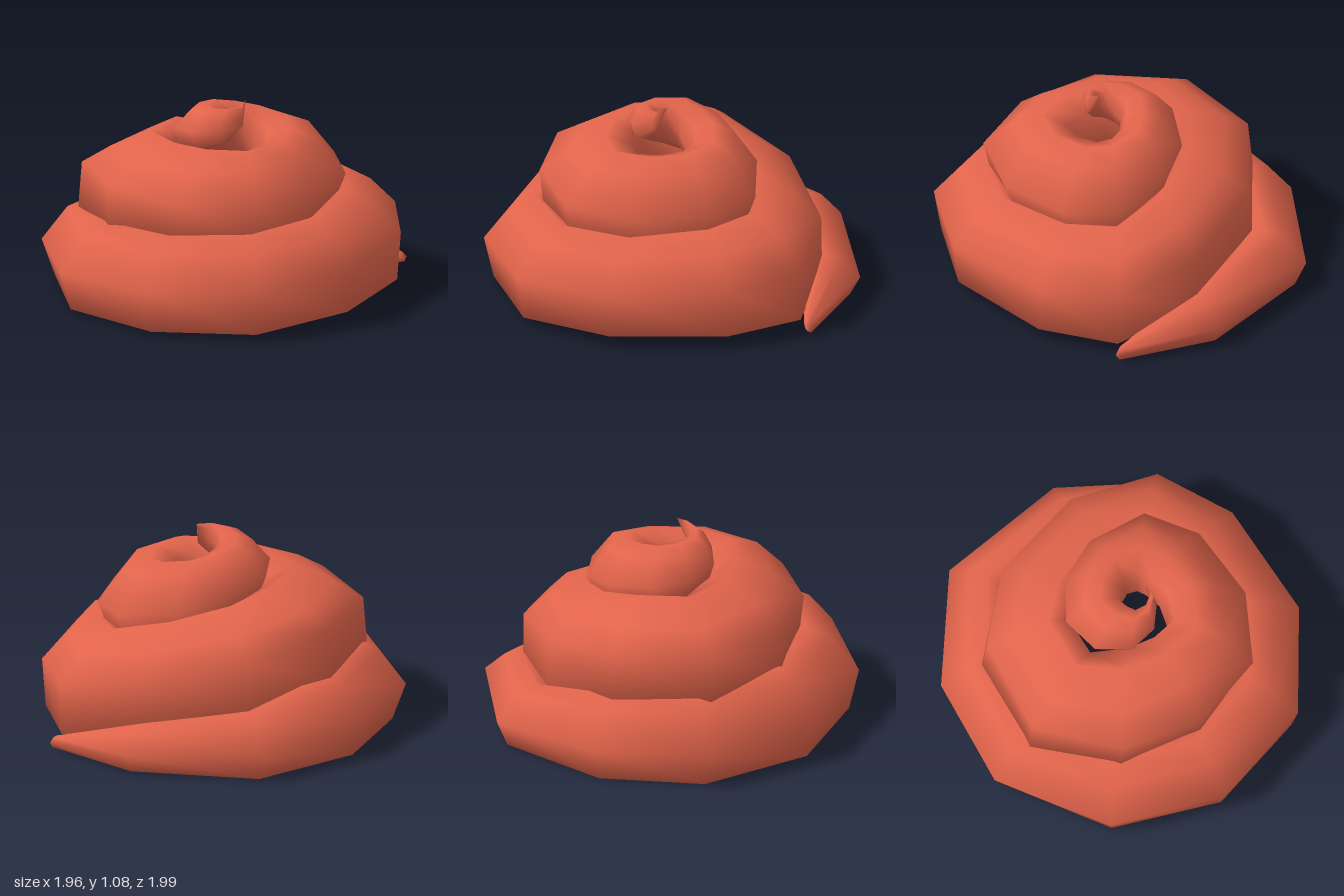
import * as THREE from 'three';

// Outer edge of the spiral seen from above (x, z), from the tail up to the tip
const PATH = [
  [0.38, -0.95], [-0.18, -1], [-0.82, -0.63], [-0.99, 0.02], [-0.81, 0.61],
  [-0.25, 0.99], [0.39, 0.95], [0.86, 0.57], [0.98, -0.01], [0.73, -0.61],
  [0.37, -0.9], [-0.13, -0.82], [-0.59, -0.45], [-0.77, 0.02], [-0.61, 0.54],
  [-0.15, 0.76], [0.32, 0.67], [0.65, 0.38], [0.68, -0.03], [0.5, -0.4],
  [0.23, -0.56], [-0.09, -0.44], [-0.26, -0.24], [-0.31, 0.03], [-0.19, 0.22],
  [0, 0.27], [0.14, 0.19], [0.18, 0.06],
];

// Cross-sections as fractions (inward, up): a round one and one with a sloping shoulder
const ROUND = [[0.17, 0], [0, 0.45], [0.33, 0.88], [0.62, 1], [0.9, 0.9], [1, 0.55], [0.88, 0.2], [0.65, 0]];
const SLOPED = [[0, 0.12], [0.06, 0.64], [0.34, 0.8], [0.74, 1], [0.97, 0.88], [1, 0.45], [0.8, 0.1], [0.4, 0]];
const SIDES = ROUND.length;

// How the cross-section changes along the path: (station, value) keys
const BOTTOM = [[0, 0.03], [3, 0.01], [7, 0.03], [8, 0.06], [10, 0.04], [11, 0.11],
  [13, 0.33], [15, 0.4], [18, 0.45], [20, 0.5], [23, 0.74], [26, 0.88], [27, 0.96]];
const TOP = [[0, 0.09], [1, 0.25], [3, 0.43], [5, 0.49], [8, 0.56], [10, 0.63],
  [13, 0.87], [19, 0.92], [23, 1.035], [27, 1.07]];
const WIDTH = [[0, 0.06], [1, 0.32], [3, 0.42], [8, 0.45], [11, 0.5], [13, 0.5], [15, 0.58],
  [18, 0.47], [20, 0.46], [21, 0.37], [24, 0.29], [27, 0.05]];
const SLOPE = [[4, 0], [13, 1], [15, 0.8], [18, 0]];

// Linear interpolation between keys
function sample(keys, i) {
  const n = keys.findIndex(([station]) => station >= i);
  if (n === 0) return keys[0][1];
  if (n < 0) return keys[keys.length - 1][1];
  const [s0, v0] = keys[n - 1], [s1, v1] = keys[n];
  return THREE.MathUtils.mapLinear(i, s0, s1, v0, v1);
}

function coilGeometry() {
  const { lerp } = THREE.MathUtils;
  const positions = [], indices = [];
  const last = PATH.length - 1;

  // Cross-section rings, facing away from the drifting centre of the spiral
  PATH.forEach(([x, z], i) => {
    const t = i / last;
    const out = new THREE.Vector2(x - 0.1 * t, z + 0.03 * t).normalize();
    const bottom = sample(BOTTOM, i), top = sample(TOP, i);
    const width = sample(WIDTH, i), slope = sample(SLOPE, i);
    ROUND.forEach(([u, v], j) => {
      const inward = width * lerp(u, SLOPED[j][0], slope);
      const y = lerp(bottom, top, lerp(v, SLOPED[j][1], slope));
      positions.push(x - out.x * inward, y, z - out.y * inward);
    });
  });

  // Pointed ends: tail at the base, curled tip on top
  const tail = positions.length / 3, tip = tail + 1;
  positions.push(0.39, 0.05, -0.92, 0.13, 1.09, -0.01);

  // Skin between neighbouring rings, closed at both ends
  for (let j = 0; j < SIDES; j++) {
    const k = (j + 1) % SIDES;
    for (let i = 0; i < last; i++) {
      const a = i * SIDES + j, b = a + SIDES;
      const c = i * SIDES + k, d = c + SIDES;
      indices.push(a, b, c, b, d, c);
    }
    indices.push(tail, j, k);
    indices.push(last * SIDES + j, tip, last * SIDES + k);
  }

  const geometry = new THREE.BufferGeometry();
  geometry.setAttribute('position', new THREE.Float32BufferAttribute(positions, 3));
  geometry.setIndex(indices);
  geometry.computeVertexNormals();
  return geometry;
}

export function createModel() {
  const group = new THREE.Group();
  group.name = 'swirl';
  const material = new THREE.MeshStandardMaterial({ color: 0xe2644b });
  const coil = new THREE.Mesh(coilGeometry(), material);
  coil.name = 'spiralCoil';
  group.add(coil);
  return group;
}
